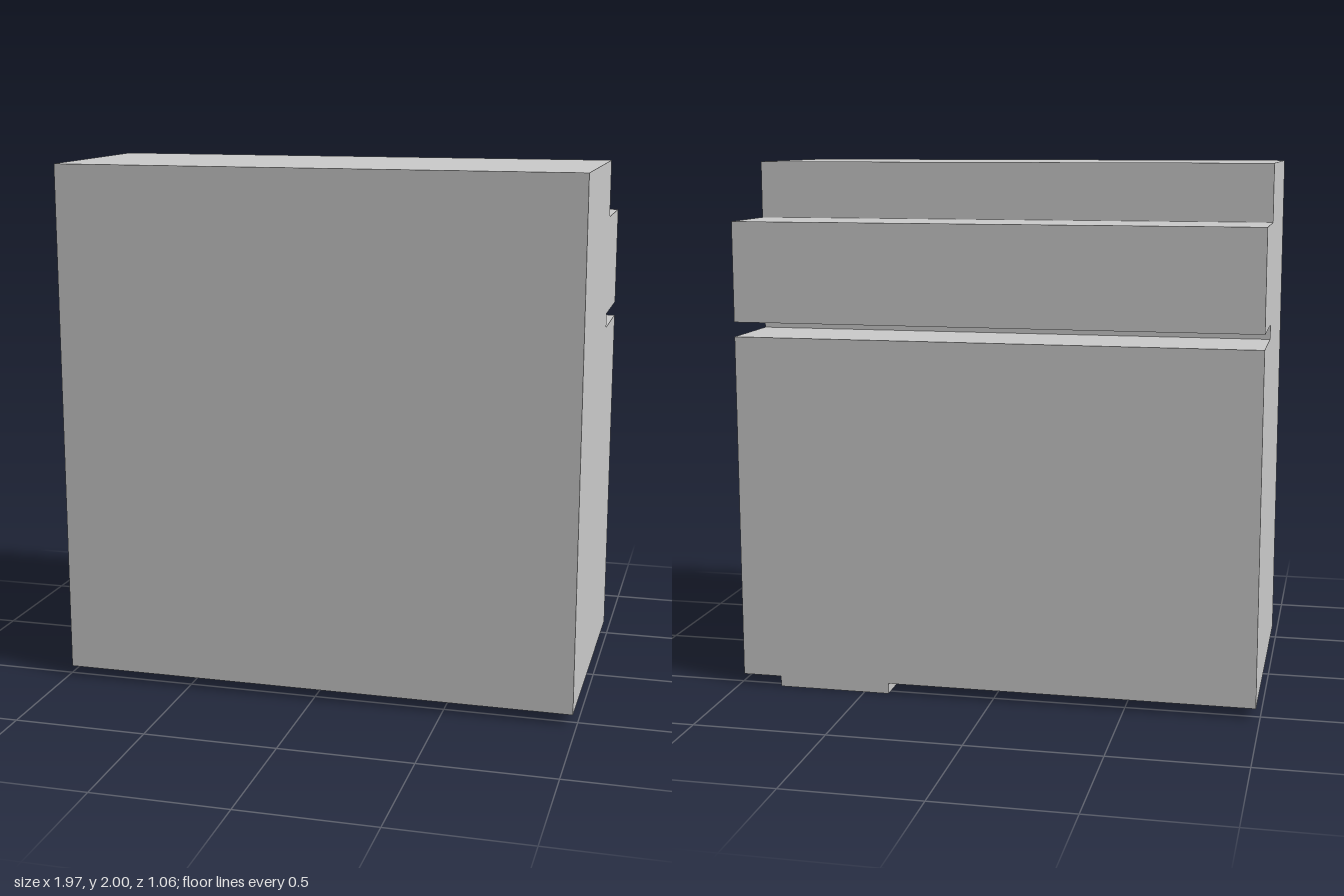
import * as THREE from 'three';

const material = new THREE.MeshStandardMaterial({ color: 0xcccccc, flatShading: true });

export function createModel() {
  const model = new THREE.Group();
  model.name = 'steppedBlock';

  // Body: side profile as (-z, y), extruded along x
  const width = 1.97;
  const profile = [
    [-0.53, 0.04], [0.53, 0.04], [0.53, 1.355], [0.205, 1.355], [0.205, 1.41],
    [0.53, 1.41], [0.53, 1.785], [0.205, 1.785], [0.205, 2], [-0.53, 2],
  ].map(([z, y]) => new THREE.Vector2(z, y));
  const bodyGeometry = new THREE.ExtrudeGeometry(new THREE.Shape(profile), { depth: width, bevelEnabled: false });
  bodyGeometry.translate(0, 0, -width / 2).rotateY(Math.PI / 2);
  const body = new THREE.Mesh(bodyGeometry, material);
  body.name = 'body';
  model.add(body);

  // Foot pads under the body; the leftmost one reaches the back edge
  const addPad = (name, x0, x1, zBack) => {
    const zFront = 0.28;
    const pad = new THREE.Mesh(new THREE.BoxGeometry(x1 - x0, 0.04, zFront - zBack), material);
    pad.position.set((x0 + x1) / 2, 0.02, (zFront + zBack) / 2);
    pad.name = name;
    model.add(pad);
  };
  for (let i = 0; i < 3; i++) {
    const x0 = -0.93 + i * 0.44;
    addPad(`footPad${i + 1}`, x0, x0 + 0.4, -0.34);
  }
  addPad('longFootPad', 0.405, 0.835, -0.53);

  return model;
}
